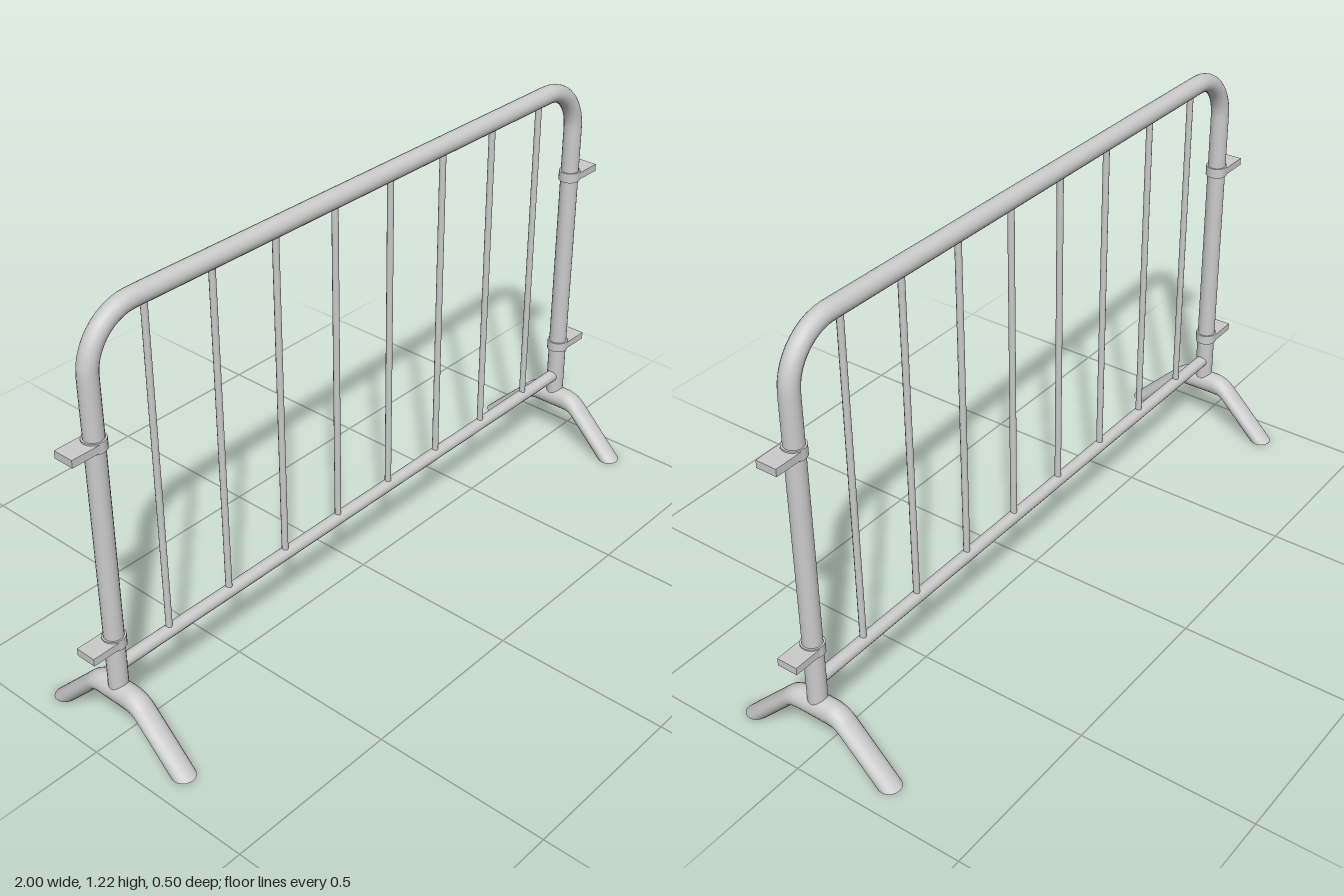
import * as THREE from 'three';

const material = new THREE.MeshStandardMaterial({ color: 0xcccccc });
const POST_X = 0.91, TOP_Y = 1.191, TUBE_R = 0.026, BEND = 0.14, FOOT_R = 0.032;

function add(parent, name, geometry, x = 0, y = 0, z = 0) {
  const mesh = new THREE.Mesh(geometry, material);
  mesh.name = name;
  mesh.position.set(x, y, z);
  parent.add(mesh);
  return mesh;
}

// Upright - bend - top - bend - upright as one path
function framePath() {
  const v = (x, y) => new THREE.Vector3(x, y, 0);
  const corner = (side, from, to) => {
    const pts = [];
    for (let i = 0; i <= 12; i++) {
      const a = from + (to - from) * i / 12;
      pts.push(v(side * (POST_X - BEND) + BEND * Math.cos(a), TOP_Y - BEND + BEND * Math.sin(a)));
    }
    return new THREE.CatmullRomCurve3(pts);
  };
  const path = new THREE.CurvePath();
  path.add(new THREE.LineCurve3(v(-POST_X, 0.15), v(-POST_X, TOP_Y - BEND)));
  path.add(corner(-1, Math.PI, Math.PI / 2));
  path.add(new THREE.LineCurve3(v(-POST_X + BEND, TOP_Y), v(POST_X - BEND, TOP_Y)));
  path.add(corner(1, Math.PI / 2, 0));
  path.add(new THREE.LineCurve3(v(POST_X, TOP_Y - BEND), v(POST_X, 0.15)));
  return path;
}

// Bent foot tube: elliptical rings, each spanning an outer and an inner outline point,
// so the tube flattens along the legs and ends level on the ground
function footGeometry() {
  const half = [ // outer z, outer y, inner z, inner y
    [0.25, 0, 0.187, 0],
    [0.104, 0.146, 0.083, 0.104],
    [0.09, 0.159, 0.075, 0.109],
    [0.073, 0.17, 0.066, 0.112],
    [0.05, 0.177, 0.05, 0.113],
  ];
  const mirrored = half.map(([a, b, c, d]) => [-a, b, -c, d]).reverse();
  const rings = [...half, ...mirrored];
  const sides = 20;
  const pos = [], index = [];
  for (const [oz, oy, iz, iy] of rings) {
    for (let s = 0; s < sides; s++) {
      const a = s / sides * Math.PI * 2, c = Math.cos(a) / 2;
      pos.push(FOOT_R * Math.sin(a), (oy + iy) / 2 + (oy - iy) * c, (oz + iz) / 2 + (oz - iz) * c);
    }
  }
  for (let r = 0; r < rings.length - 1; r++) {
    for (let s = 0; s < sides; s++) {
      const a = r * sides + s, b = r * sides + (s + 1) % sides;
      index.push(a, b, a + sides, b, b + sides, a + sides);
    }
  }
  const geometry = new THREE.BufferGeometry();
  geometry.setAttribute('position', new THREE.Float32BufferAttribute(pos, 3));
  geometry.setIndex(index);
  geometry.computeVertexNormals();
  return geometry;
}

export function createModel() {
  const model = new THREE.Group();
  model.name = 'crowdBarrier';

  add(model, 'frameTube', new THREE.TubeGeometry(framePath(), 200, TUBE_R, 20));

  // Lower rail
  const rail = add(model, 'bottomRail', new THREE.CylinderGeometry(0.018, 0.018, POST_X * 2, 16, 1, true), 0, 0.223);
  rail.rotation.z = Math.PI / 2;

  // Vertical bars
  const barGeometry = new THREE.CylinderGeometry(0.009, 0.009, 0.96, 10, 1, true);
  for (let i = 0; i < 8; i++) add(model, 'bar', barGeometry, (i - 3.5) * 0.21, 0.703);

  // Feet, with flat soles closing the leg ends
  const footTube = footGeometry();
  const sole = new THREE.CircleGeometry(FOOT_R, 20).rotateX(Math.PI / 2);
  for (const side of [-1, 1]) {
    const foot = new THREE.Group();
    foot.name = 'foot';
    foot.position.x = side * POST_X;
    add(foot, 'footTube', footTube);
    for (const end of [-1, 1]) add(foot, 'sole', sole, 0, 0, end * 0.2185);
    model.add(foot);
  }

  // Coupling clips: a collar round the post and a plate outward, staggered in height
  const collar = new THREE.CylinderGeometry(0.031, 0.031, 0.029, 20);
  const plate = new THREE.BoxGeometry(0.09, 0.021, 0.06);
  for (const [side, heights] of [[1, [0.332, 0.903]], [-1, [0.307, 0.878]]]) {
    for (const y of heights) {
      const clip = new THREE.Group();
      clip.name = 'couplingClip';
      clip.position.set(side * POST_X, y, 0);
      add(clip, 'collar', collar);
      add(clip, 'plate', plate, side * 0.045);
      model.add(clip);
    }
  }
  return model;
}
